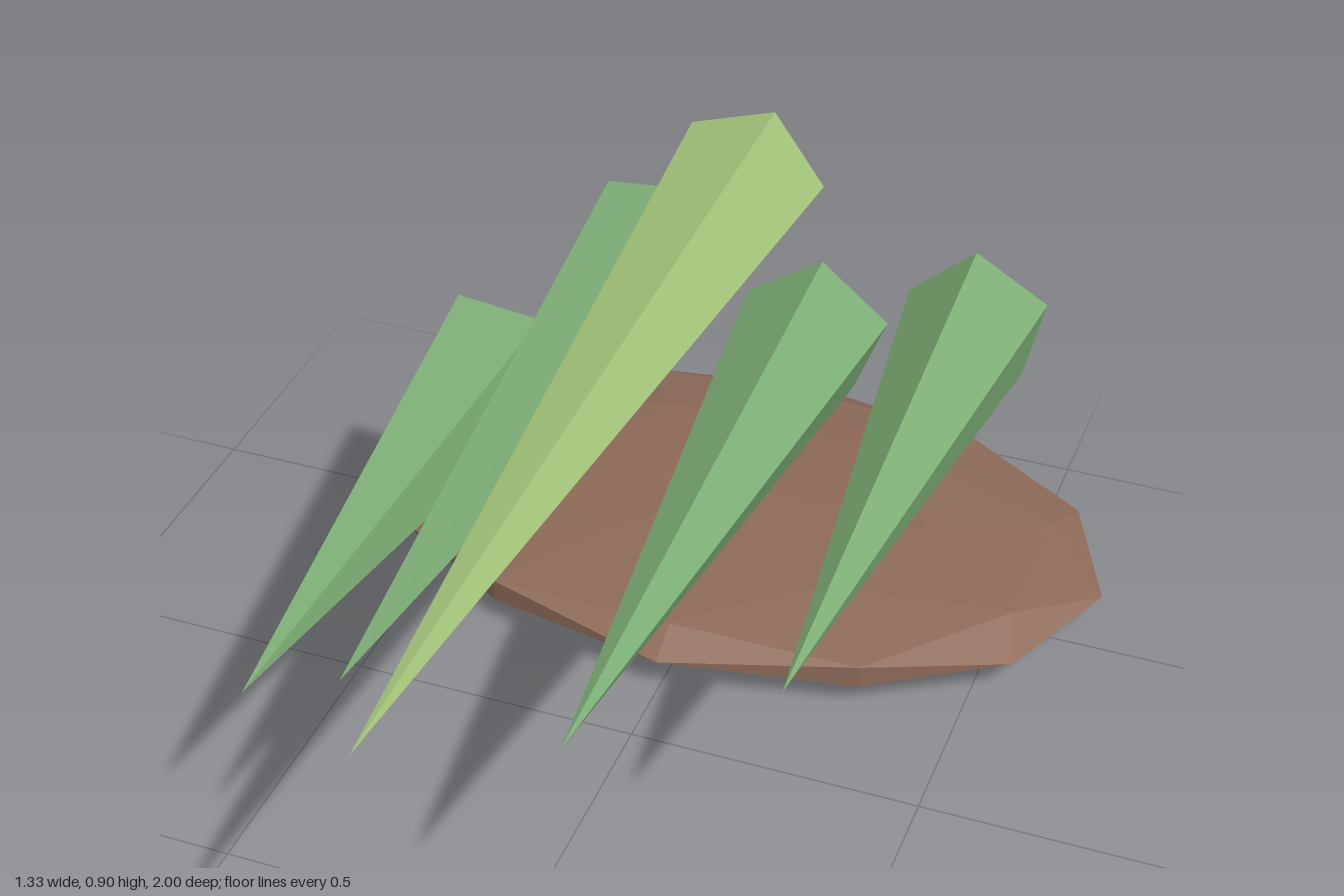
import * as THREE from 'three';

const material = (color) => new THREE.MeshStandardMaterial({ color, flatShading: true });

// Five-sided spike pointing forward; angle (degrees) places one base corner
function spike(name, x, y, backZ, tipZ, angle, mat) {
  const length = tipZ - backZ;
  const geometry = new THREE.ConeGeometry(0.128, length, 5);
  geometry.rotateX(Math.PI / 2);
  geometry.rotateZ(THREE.MathUtils.degToRad(angle + 90));
  const mesh = new THREE.Mesh(geometry, mat);
  mesh.name = name;
  mesh.position.set(x, y, (backZ + tipZ) / 2);
  return mesh;
}

export function createModel() {
  const model = new THREE.Group();
  model.name = 'spikeCluster';

  // Flattened faceted mound
  const moundGeometry = new THREE.IcosahedronGeometry(1, 1);
  moundGeometry.scale(0.665, 0.0665, 0.442);
  const mound = new THREE.Mesh(moundGeometry, material(0x8d6a58));
  mound.name = 'mound';
  mound.position.set(0, 0.0665, -0.558);
  model.add(mound);

  // Long pale central spike
  model.add(spike('centralSpike', 0, 0.78, -0.555, 1, 0, material(0xa3c47a)));

  // Shorter spikes around it: x, y, base z, tip z, roll
  const green = material(0x7cad74);
  [
    [-0.167, 0.617, -0.555, 0.7, 60],
    [0.147, 0.557, -0.48, 0.66, 87],
    [0.372, 0.493, -0.7, 0.365, 95.5],
    [-0.392, 0.437, -0.37, 0.585, 47.7],
  ].forEach((s, i) => model.add(spike(`sideSpike${i + 1}`, ...s, green)));

  return model;
}
